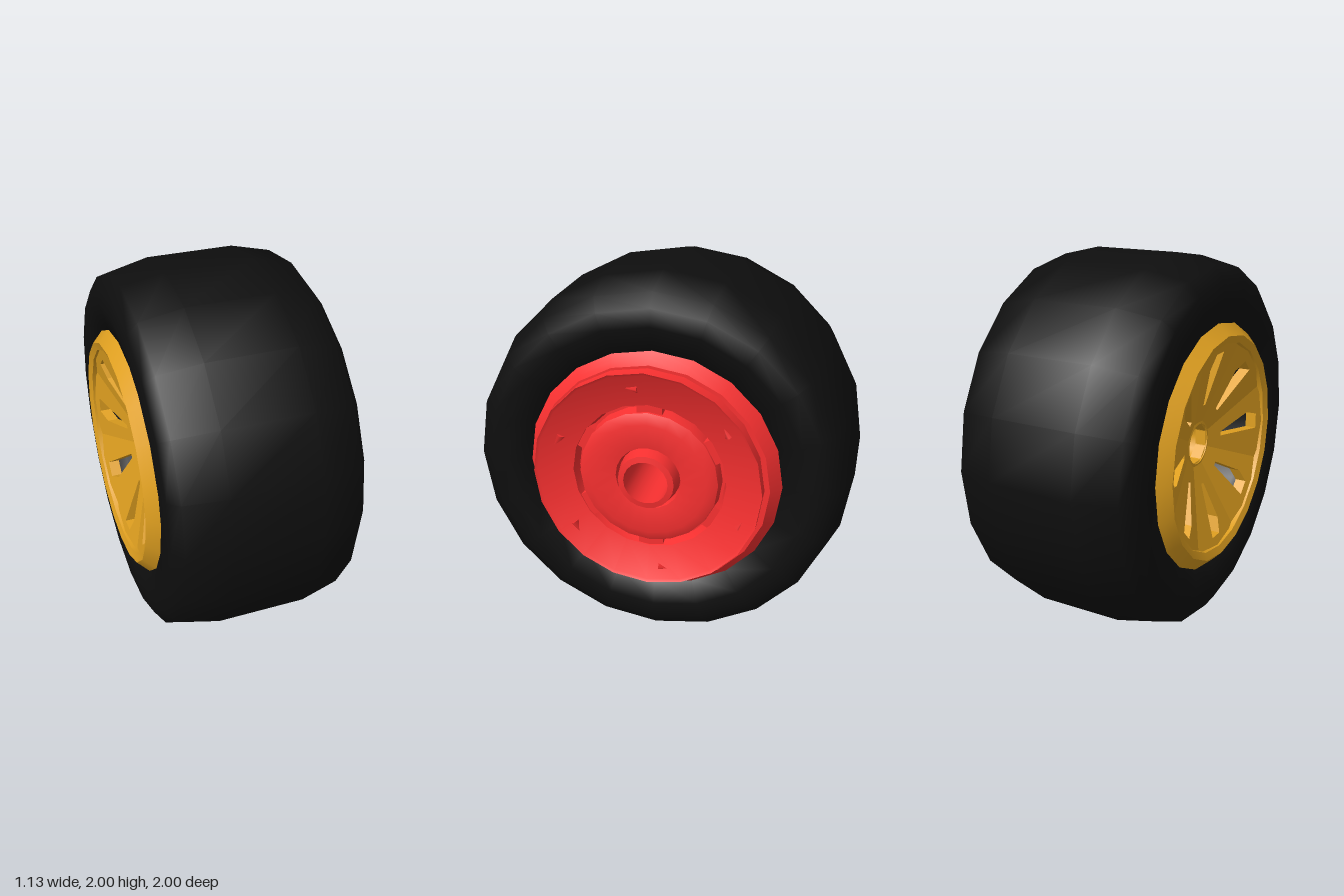
import * as THREE from 'three';
import { toCreasedNormals } from 'three/addons/utils/BufferGeometryUtils.js';

const SIDES = 20;
const paint = (color) => new THREE.MeshStandardMaterial({ color, side: THREE.DoubleSide });

// Ring turned about the x axis from [x, radius] pairs, ordered from -x to +x on the outside
function turned(name, profile, material, crease = 0.6) {
  const points = profile.map(([x, r]) => new THREE.Vector2(r, x));
  const geometry = new THREE.LatheGeometry(points, SIDES);
  geometry.rotateZ(-Math.PI / 2);
  const mesh = new THREE.Mesh(toCreasedNormals(geometry, crease), material);
  mesh.name = name;
  return mesh;
}

// One sector of the dished wheel cover, with a wedge-shaped window
function coverSector(material, half) {
  const polar = (r, a) => new THREE.Vector2(r * Math.cos(a), r * Math.sin(a));
  const shape = new THREE.Shape([
    polar(0.11, -half), polar(0.6, -half), polar(0.6, 0), polar(0.6, half), polar(0.11, half),
  ]);
  shape.holes.push(new THREE.Path([
    new THREE.Vector2(0.22, 0.012), new THREE.Vector2(0.43, 0.075),
    new THREE.Vector2(0.51, 0.05), new THREE.Vector2(0.51, -0.035), new THREE.Vector2(0.22, -0.012),
  ]));
  const geometry = new THREE.ExtrudeGeometry(shape, { depth: 0.06, bevelEnabled: false });
  // slope the plate outward from the hub to the rim
  const p = geometry.attributes.position;
  for (let i = 0; i < p.count; i++) {
    p.setZ(i, p.getZ(i) + 0.35 + 0.3 * (p.getX(i) - 0.11));
  }
  geometry.computeVertexNormals();
  // plate normal from +z to -x
  geometry.rotateY(-Math.PI / 2);
  const mesh = new THREE.Mesh(geometry, material);
  mesh.name = 'coverSector';
  return mesh;
}

export function createModel() {
  const wheel = new THREE.Group();
  wheel.name = 'wheel';
  const black = paint(0x0e0e0e);
  const red = paint(0xf83030);
  const gold = paint(0xe0a020);

  // Tyre with rounded shoulders and an open inside
  wheel.add(turned('tyre', [
    [-0.4, 0.62], [-0.51, 0.66], [-0.54, 0.79], [-0.53, 0.88], [-0.48, 0.95], [-0.26, 1],
    [0.2, 1], [0.41, 0.95], [0.46, 0.88], [0.465, 0.79], [0.43, 0.66], [0.33, 0.62], [-0.4, 0.62],
  ], black, 1.1));

  // Outer side: rim lip, windowed dish and hub sleeve
  const cover = new THREE.Group();
  cover.name = 'wheelCover';
  cover.add(turned('rimLip', [
    [-0.48, 0.55], [-0.555, 0.56], [-0.57, 0.6], [-0.54, 0.63], [-0.5, 0.67], [-0.4, 0.65],
  ], gold));
  cover.add(turned('hubSleeve', [
    [-0.05, 0.14], [-0.41, 0.14], [-0.415, 0.11], [-0.05, 0.11],
  ].reverse(), gold));
  const count = 8;
  for (let i = 0; i < count; i++) {
    const sector = coverSector(gold, Math.PI / count);
    sector.rotation.x = (i * 2 * Math.PI) / count;
    cover.add(sector);
  }
  wheel.add(cover);

  // Inner side: stepped drum with a groove, raised centre and through hole
  const drum = new THREE.Group();
  drum.name = 'brakeDrum';
  drum.add(turned('drumRim', [[0.36, 0.65], [0.42, 0.672], [0.46, 0.635], [0.495, 0.61], [0.495, 0.57]], red));
  const face = turned('drumFace', [
    [0.34, 0.62], [0.49, 0.59], [0.565, 0.59], [0.555, 0.575], [0.5, 0.4], [0.44, 0.385],
    [0.44, 0.37], [0.505, 0.36], [0.53, 0.305], [0.51, 0.17], [0.47, 0.16], [0.555, 0.145],
    [0.56, 0.115], [-0.05, 0.115], [-0.05, 0.14], [0.34, 0.14], [0.34, 0.62],
  ], red);
  face.position.set(0, 0.006, 0.008);
  drum.add(face);

  // Lugs bridging the groove and small fins on the face
  for (let i = 0; i < 6; i++) {
    const spoke = new THREE.Group();
    spoke.name = 'drumRib';
    const lug = new THREE.Mesh(new THREE.BoxGeometry(0.06, 0.06, 0.13), red);
    lug.name = 'lug';
    lug.position.set(0.465, 0.38, 0);
    const fin = new THREE.Mesh(new THREE.ConeGeometry(0.025, 0.1, 4), red);
    fin.name = 'fin';
    fin.rotation.x = Math.PI / 2;
    fin.position.set(0.525, 0.5, 0.1);
    spoke.add(lug, fin);
    spoke.rotation.x = (i * Math.PI) / 3;
    drum.add(spoke);
  }
  wheel.add(drum);

  wheel.position.y = 1;
  const model = new THREE.Group();
  model.name = 'wheelAssembly';
  model.add(wheel);
  return model;
}
